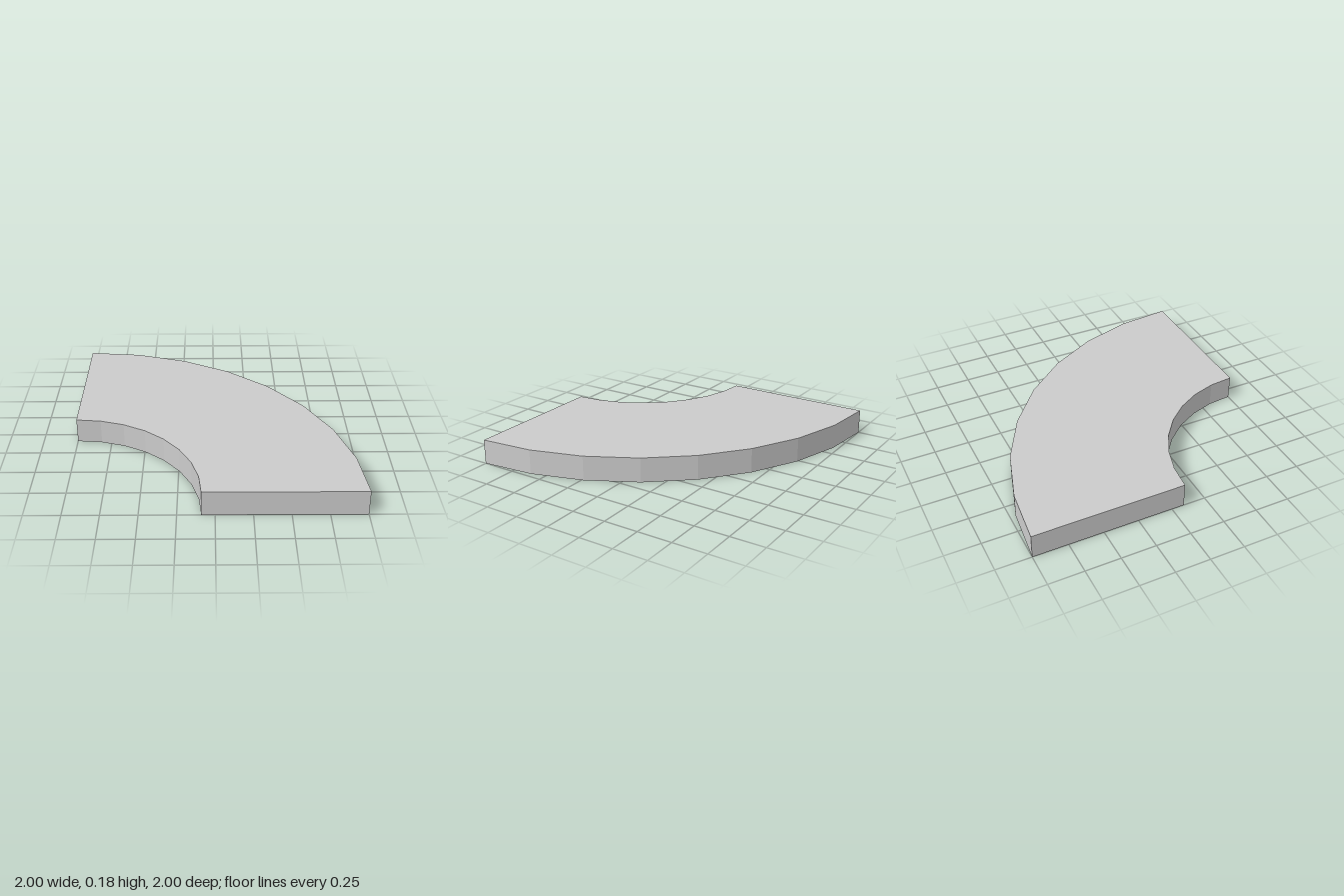
import * as THREE from 'three';

const OUTER = 2, INNER = 0.91, HEIGHT = 0.18, SEGMENTS = 8;

// Points of a faceted quarter arc around the corner (-1, -1)
function quarterArc(radius) {
  return Array.from({ length: SEGMENTS + 1 }, (_, i) => {
    const a = (i / SEGMENTS) * Math.PI / 2;
    return new THREE.Vector2(-1 + radius * Math.cos(a), -1 + radius * Math.sin(a));
  });
}

export function createModel() {
  const group = new THREE.Group();
  group.name = 'curvedSlab';

  // Quarter ring outline: outer arc one way, inner arc back
  const outline = new THREE.Shape([...quarterArc(OUTER), ...quarterArc(INNER).reverse()]);
  const geometry = new THREE.ExtrudeGeometry(outline, { depth: HEIGHT, bevelEnabled: false });
  geometry.rotateX(-Math.PI / 2); // lay flat, thickness upwards

  const slab = new THREE.Mesh(
    geometry,
    new THREE.MeshStandardMaterial({ color: 0xcccccc, flatShading: true })
  );
  slab.name = 'quarterRingSlab';
  group.add(slab);
  return group;
}
